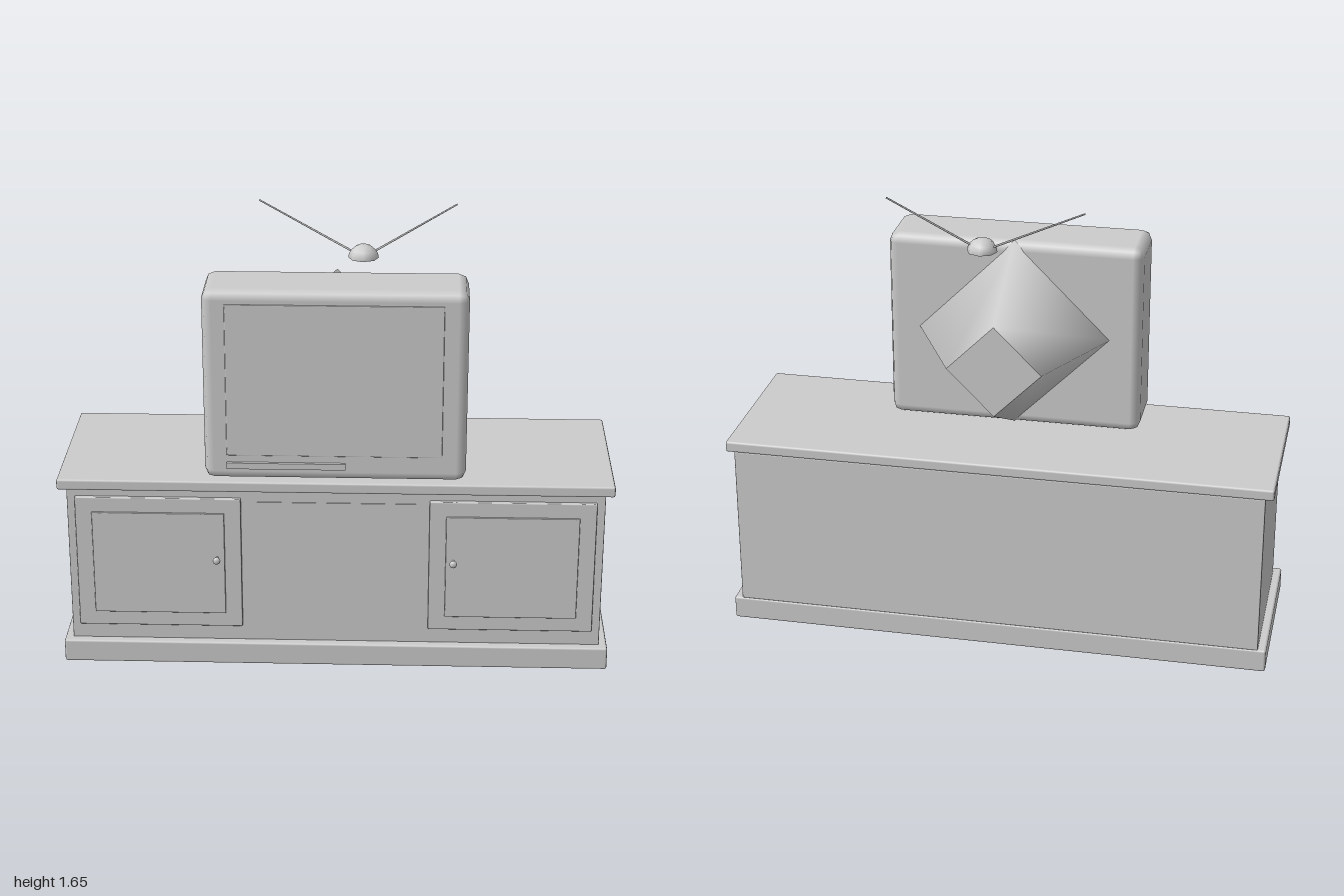
import * as THREE from 'three';
import { RoundedBoxGeometry } from 'three/addons/geometries/RoundedBoxGeometry.js';

export function createModel() {
  const model = new THREE.Group();
  model.name = 'televisionOnCabinet';
  const grey = new THREE.MeshStandardMaterial({ color: 0xcccccc });
  grey.name = 'light grey';
  grey.side = THREE.DoubleSide;

  const add = (name, geometry, parent = model) => {
    const mesh = new THREE.Mesh(geometry, grey);
    mesh.name = name;
    parent.add(mesh);
    return mesh;
  };
  // Box given by its limits on each axis, with an optional bevel
  const box = (name, [x0, x1], [y0, y1], [z0, z1], bevel = 0, parent = model) => {
    const size = [x1 - x0, y1 - y0, z1 - z0];
    const geometry = bevel
      ? new RoundedBoxGeometry(...size, 1, bevel)
      : new THREE.BoxGeometry(...size);
    const mesh = add(name, geometry, parent);
    mesh.position.set((x0 + x1) / 2, (y0 + y1) / 2, (z0 + z1) / 2);
    return mesh;
  };

  // Cabinet
  const cabinet = new THREE.Group();
  cabinet.name = 'cabinet';
  model.add(cabinet);
  box('plinth', [-1, 1], [0, 0.087], [-0.33, 0.303], 0.008, cabinet);
  box('cabinetBody', [-0.97, 0.97], [0.085, 0.695], [-0.327, 0.272], 0.004, cabinet);
  box('cabinetTop', [-1, 1], [0.695, 0.736], [-0.333, 0.305], 0.008, cabinet);
  box('centrePanel', [-0.29, 0.29], [0.16, 0.645], [0.268, 0.275], 0, cabinet);

  // Doors with raised panels and knobs
  for (const side of [-1, 1]) {
    const door = new THREE.Group();
    door.name = side < 0 ? 'rightDoor' : 'leftDoor';
    cabinet.add(door);
    const span = (a, b) => (side > 0 ? [a, b] : [-b, -a]);
    box('doorLeaf', span(0.34, 0.94), [0.147, 0.66], [0.265, 0.287], 0.004, door);
    box('doorPanel', span(0.4, 0.88), [0.203, 0.604], [0.28, 0.294], 0.003, door);
    const stem = add('knobStem', new THREE.CylinderGeometry(0.005, 0.005, 0.03, 8), door);
    stem.rotation.x = Math.PI / 2;
    stem.position.set(side * 0.428, 0.43, 0.304);
    const knob = add('knob', new THREE.SphereGeometry(0.014, 12, 8), door);
    knob.scale.z = 0.65;
    knob.position.set(side * 0.428, 0.43, 0.321);
  }

  // Television
  const television = new THREE.Group();
  television.name = 'television';
  model.add(television);
  box('televisionCase', [-0.467, 0.467], [0.736, 1.45], [0.034, 0.287], 0.036, television);
  box('screen', [-0.386, 0.381], [0.834, 1.402], [0.28, 0.292], 0.003, television);
  box('controlStrip', [-0.386, 0.038], [0.785, 0.808], [0.28, 0.299], 0, television);

  // Four-sided tapering tube housing, softly shaded
  const housing = add('tubeHousing', new THREE.CylinderGeometry(0.357, 0.17, 0.373, 4), television);
  housing.rotation.x = Math.PI / 2;
  housing.position.set(0, 1.098, -0.1415);

  // Aerial: hollow dome with two rods
  const aerial = new THREE.Group();
  aerial.name = 'aerial';
  model.add(aerial);
  const centre = new THREE.Vector3(0.09, 1.455, -0.087);
  const dome = add('aerialDome',
    new THREE.SphereGeometry(0.055, 8, 5, 0, Math.PI * 2, 0, Math.PI / 2), aerial);
  dome.position.copy(centre);
  dome.scale.y = 0.9;
  const rodTips = [[-0.288, 1.645, -0.157], [0.425, 1.645, -0.128]];
  rodTips.forEach((tip, i) => {
    const end = new THREE.Vector3(...tip);
    const along = end.clone().sub(centre);
    const rod = add(i ? 'leftRod' : 'rightRod',
      new THREE.CylinderGeometry(0.003, 0.004, along.length(), 6), aerial);
    rod.position.copy(centre).add(end).multiplyScalar(0.5);
    rod.quaternion.setFromUnitVectors(new THREE.Vector3(0, 1, 0), along.normalize());
  });

  return model;
}
